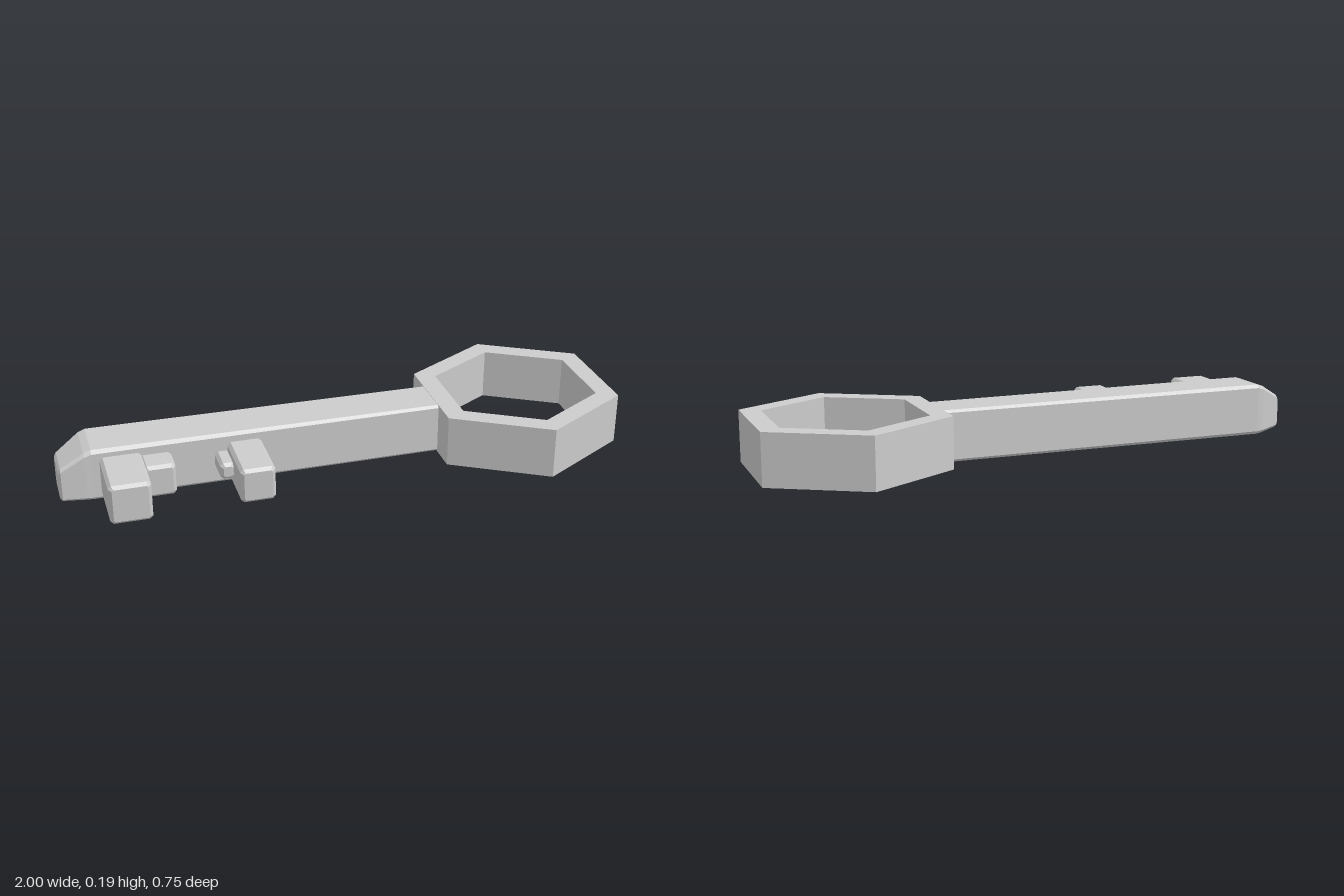
import * as THREE from 'three';

const material = new THREE.MeshStandardMaterial({ color: 0xcccccc, flatShading: true });

// Rectangle u0..u1 by v0..v1 with its corners cut by b, counter-clockwise
function cutRect(u0, u1, v0, v1, b) {
  return [
    [u0 + b, v0], [u1 - b, v0], [u1, v0 + b], [u1, v1 - b],
    [u1 - b, v1], [u0 + b, v1], [u0, v1 - b], [u0, v0 + b],
  ];
}

// Closed, faceted skin over rings of points, given in order along the axis
function loft(rings) {
  const pos = [];
  const tri = (...points) => points.forEach((p) => pos.push(...p));
  const n = rings[0].length;
  for (let i = 0; i < rings.length - 1; i++) {
    for (let j = 0; j < n; j++) {
      const k = (j + 1) % n;
      const [a, b, c, d] = [rings[i][j], rings[i][k], rings[i + 1][k], rings[i + 1][j]];
      tri(a, b, c);
      tri(a, c, d);
    }
  }
  const first = rings[0], last = rings[rings.length - 1];
  for (let j = 1; j < n - 1; j++) {
    tri(first[0], first[j + 1], first[j]);
    tri(last[0], last[j], last[j + 1]);
  }
  const geometry = new THREE.BufferGeometry();
  geometry.setAttribute('position', new THREE.Float32BufferAttribute(pos, 3));
  geometry.computeVertexNormals();
  return geometry;
}

function addPart(group, name, geometry) {
  const mesh = new THREE.Mesh(geometry, material);
  mesh.name = name;
  group.add(mesh);
  return mesh;
}

function hexagon(path, radius) {
  const points = [];
  for (let i = 0; i < 6; i++) {
    const a = Math.PI / 2 + (i * Math.PI) / 3;
    points.push(new THREE.Vector2(radius * Math.cos(a), radius * Math.sin(a)));
  }
  return path.setFromPoints(points);
}

export function createModel() {
  const group = new THREE.Group();
  group.name = 'key';

  // Hexagonal bow lying flat
  const shape = hexagon(new THREE.Shape(), 0.375);
  shape.holes.push(hexagon(new THREE.Path(), 0.295));
  const bow = new THREE.ExtrudeGeometry(shape, { depth: 0.184, bevelEnabled: false });
  bow.rotateX(-Math.PI / 2);
  addPart(group, 'bow', bow).position.set(0.672, 0.003, 0);

  // Shaft, its tip sloped on the top and the back: x, y0, y1, z0, z1, bevel
  const shaftSections = [
    [-1, 0.02, 0.125, -0.045, 0.082, 0.01],
    [-0.992, 0.012, 0.135, -0.053, 0.09, 0.01],
    [-0.91, 0.003, 0.182, -0.09, 0.09, 0.012],
    [-0.885, 0.001, 0.19, -0.095, 0.089, 0.012],
    [0.347, 0.003, 0.186, -0.089, 0.085, 0.009],
  ];
  addPart(group, 'shaft', loft(shaftSections.map(([x, ...rect]) =>
    cutRect(...rect).map(([y, z]) => [x, y, z]))));

  // Bit teeth on the front side: x0, x1, y0, y1, end z
  const teeth = [
    [-0.86, -0.718, 0.02, 0.162, 0.3],
    [-0.725, -0.617, 0.033, 0.15, 0.18],
    [-0.422, -0.302, 0.03, 0.155, 0.3],
    [-0.467, -0.415, 0.065, 0.125, 0.185],
  ];
  const b = 0.011;
  teeth.forEach(([x0, x1, y0, y1, end], i) => {
    const ring = (z, inset) =>
      cutRect(x0 + inset, x1 - inset, y0 + inset, y1 - inset, b - inset * 0.5)
        .map(([x, y]) => [x, y, z]);
    addPart(group, `tooth${i + 1}`, loft([ring(0.06, 0), ring(end - b, 0), ring(end, b)]));
  });

  return group;
}
